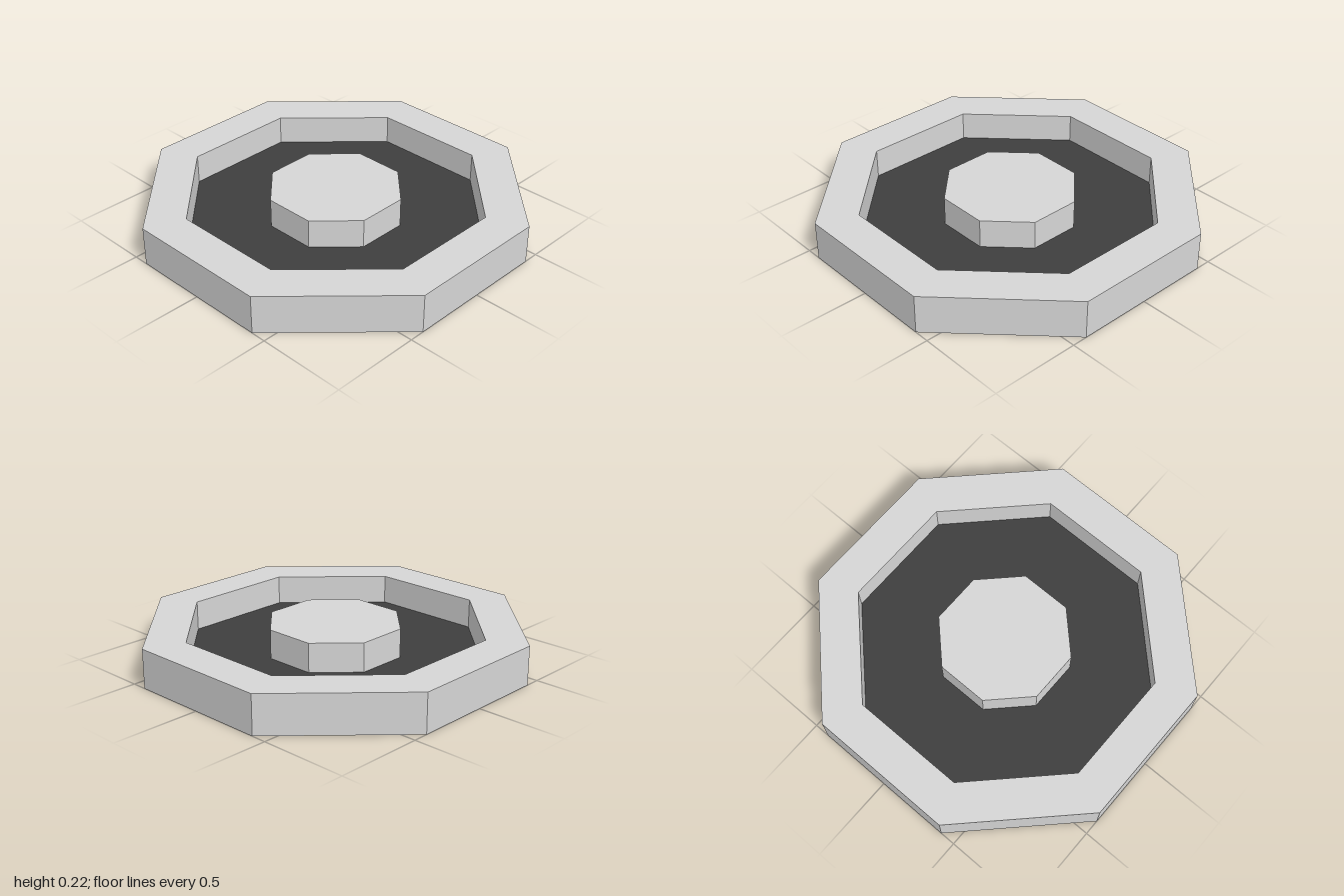
import * as THREE from 'three';

const SIDES = 8;
const TURN = Math.PI / SIDES; // puts flat sides square to the axes
const HEIGHT = 0.22;
const FLOOR = 0.055;

// corner radius of an octagon from its centre-to-side distance
const corner = (apothem) => apothem / Math.cos(TURN);

export function createModel() {
  const model = new THREE.Group();
  model.name = 'octagonalTray';

  const lightGrey = new THREE.MeshStandardMaterial({ color: 0xd6d6d6, flatShading: true });
  lightGrey.name = 'lightGrey';
  const darkGrey = new THREE.MeshStandardMaterial({ color: 0x3f3f3f, flatShading: true });
  darkGrey.name = 'darkGrey';

  const add = (name, geometry, material, y = 0) => {
    const mesh = new THREE.Mesh(geometry, material);
    mesh.name = name;
    mesh.position.y = y;
    model.add(mesh);
  };

  // raised rim: outer wall, top and inner wall
  const outer = corner(1);
  const inner = corner(0.783);
  const profile = [[outer, 0], [outer, HEIGHT], [inner, HEIGHT], [inner, FLOOR]]
    .map(([r, y]) => new THREE.Vector2(r, y));
  add('rim', new THREE.LatheGeometry(profile, SIDES, TURN), lightGrey);

  // dark floor of the channel and dark underside
  const octagon = (radius, tilt) =>
    new THREE.CircleGeometry(radius, SIDES, TURN).rotateX(tilt);
  add('floor', octagon(inner, -Math.PI / 2), darkGrey, FLOOR);
  add('underside', octagon(outer, Math.PI / 2), darkGrey);

  // central hub, level with the rim
  const hubRadius = corner(0.35);
  const hubHeight = HEIGHT - FLOOR;
  add('hub', new THREE.CylinderGeometry(hubRadius, hubRadius, hubHeight, SIDES, 1, false, TURN),
    lightGrey, FLOOR + hubHeight / 2);

  return model;
}
